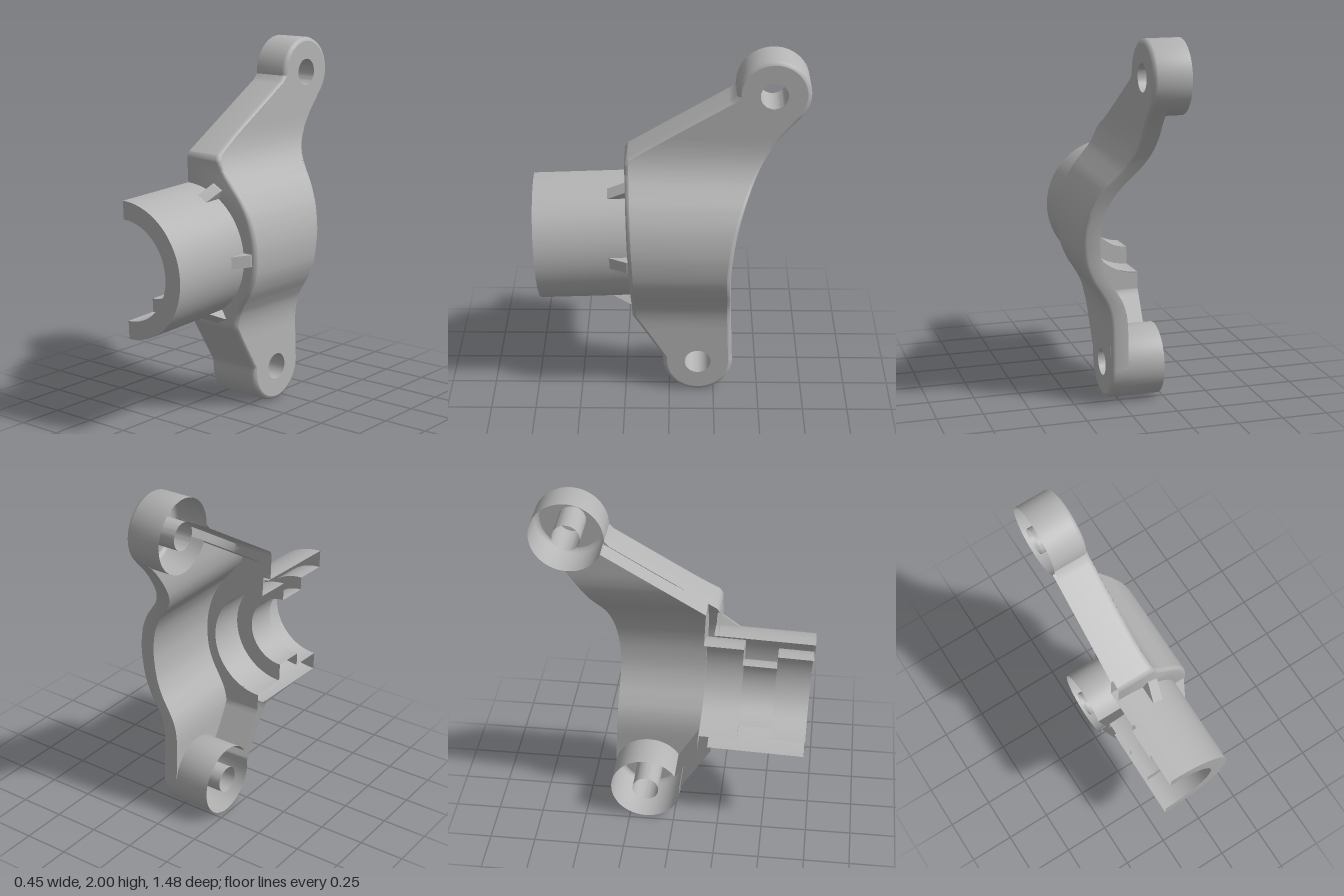
import * as THREE from 'three';
import { toCreasedNormals } from 'three/addons/utils/BufferGeometryUtils.js';

const CUT = -0.226;     // open plane of the half housing
const WALL = 0.092;     // shell thickness
const ROUND = 0.022;    // rounding of the outer edges
const TILT = 0.04;      // slight droop of the tube
const BORE_Y = 0.895;
// gap: angles where the lug ring opens into the front wall
const UPPER = { z: -0.545, y: 1.805, r: 0.195, x: -0.027, gap: [-0.45, -0.1] };
const LOWER = { z: -0.16, y: 0.196, r: 0.195, x: 0.07, gap: [0.15, 0.56] };
const HOLE = 0.073;

// Value at y from [y, value] pairs, straight or smooth between them
function interp(pts, smooth) {
  const n = pts.length;
  const slope = (i) => {
    const a = pts[Math.max(0, i - 1)], b = pts[Math.min(n - 1, i + 1)];
    return (b[1] - a[1]) / (b[0] - a[0]);
  };
  return (y) => {
    let i = 0;
    while (i < n - 2 && y > pts[i + 1][0]) i++;
    const [y0, a] = pts[i], [y1, b] = pts[i + 1];
    const h = y1 - y0, t = Math.min(1, Math.max(0, (y - y0) / h));
    if (!smooth) return a + (b - a) * t;
    const t2 = t * t, t3 = t2 * t;
    return a * (2 * t3 - 3 * t2 + 1) + b * (3 * t2 - 2 * t3)
      + h * (slope(i) * (t3 - 2 * t2 + t) + slope(i + 1) * (t3 - t2));
  };
}

// Bulged outer profile, front outline, inner front wall and back outline by height
const faceX = interp([[0, 0.07], [0.42, 0.07], [0.5, 0.076], [0.57, 0.095], [0.63, 0.127],
  [0.71, 0.175], [0.8, 0.209], [0.92, 0.222], [1.02, 0.213], [1.12, 0.183], [1.21, 0.132],
  [1.28, 0.076], [1.34, 0.028], [1.41, -0.007], [1.48, -0.023], [1.55, -0.027], [2, -0.027]], true);
const frontZ = interp([[0.195, 0.035], [0.225, 0.036], [0.26, 0.057], [0.5, 0.205], [1.41, 0.243],
  [1.435, 0.23], [1.45, 0.205], [1.77, -0.325], [1.8, -0.35]]);
const innerZ = interp([[0.26, -0.015], [0.5, 0.13], [1.39, 0.17], [1.73, -0.39]]);
const backZ = interp([[0.19, -0.355], [0.6, -0.34], [0.87, -0.335], [1.13, -0.375],
  [1.37, -0.475], [1.58, -0.605], [1.675, -0.69]], true);
const innerX = (y) => faceX(y) - WALL;

// Inner x limit that leaves a round opening of radius r
const opening = (y, r) => CUT + Math.sqrt(Math.max(0, r * r - (y - BORE_Y) ** 2));
// Front (+1) or back (-1) edge of a lug ring at height y
const lugZ = (l, y, side) => l.z + side * Math.sqrt(Math.max(0, l.r ** 2 - (y - l.y) ** 2));

// Rounded corner between the outer skin and a wall at z, s pointing into the part
const corner = (y, z, s) => [[1, 0], [0.3, 0.3], [0, 1]]
  .map(([a, b]) => [faceX(y) - a * ROUND, z + s * b * ROUND]);

// Heights with extra rows at the outline breaks and around the bore
function heights(from, to) {
  const ys = [from, to, 0.225, 0.26, 0.42, 0.5, 1.39, 1.41, 1.435, 1.45, 1.55, 1.77];
  for (let i = 0; i <= 40; i++) {
    ys.push(from + (to - from) * i / 40);
    ys.push(BORE_Y - 0.37 * Math.cos(Math.PI * i / 40), BORE_Y - 0.3 * Math.cos(Math.PI * i / 40));
  }
  return ys.filter((y) => y >= from && y <= to).sort((a, b) => a - b)
    .filter((y, i, all) => i === 0 || y - all[i - 1] > 1e-4);
}

// Sheet lofted through one cross-section per height, row(y) giving [x, z] points
function sheet(from, to, row) {
  const ys = heights(from, to), pos = [], index = [];
  ys.forEach((y, r) => {
    const points = row(y), n = points.length;
    points.forEach(([x, z], c) => {
      pos.push(x, y, z);
      if (r < ys.length - 1 && c < n - 1) {
        const k = r * n + c, m = k + n;
        index.push(k, k + 1, m, k + 1, m + 1, m);
      }
    });
  });
  const g = new THREE.BufferGeometry();
  g.setAttribute('position', new THREE.Float32BufferAttribute(pos, 3));
  g.setIndex(index);
  g.computeVertexNormals();
  return toCreasedNormals(g, 0.8);
}

export function createModel() {
  const model = new THREE.Group();
  const castMetal = new THREE.MeshStandardMaterial({ color: 0xb4b4b4, side: THREE.DoubleSide });
  const add = (name, geometry, parent = model) => {
    const mesh = new THREE.Mesh(geometry, castMetal);
    mesh.name = name;
    parent.add(mesh);
  };

  // Shell: curved outer skin, full-depth front wall and back rim with rounded edges
  add('outerSkin', sheet(0.42, 1.55, (y) => [[faceX(y), frontZ(y) - ROUND], [faceX(y), backZ(y) + ROUND]]));
  add('frontWall', sheet(0.195, 1.8, (y) => [[opening(y, 0.37), frontZ(y)], ...corner(y, frontZ(y), -1)]));
  add('backRim', sheet(0.195, 1.675, (y) => [[innerX(y), backZ(y)], ...corner(y, backZ(y), 1)]));

  // Pocket: inner front wall and inner skin, which runs round both lugs
  add('innerFrontWall', sheet(0.295, 1.72, (y) => [[opening(y, 0.3), innerZ(y)], [innerX(y), innerZ(y)]]));
  const pocket = (from, to, a, b) =>
    add('innerSkin', sheet(from, to, (y) => [[innerX(y), a(y)], [innerX(y), b(y)]]));
  pocket(0.39, 1.61, innerZ, backZ);
  pocket(0.295, 0.39, innerZ, (y) => lugZ(LOWER, y, 1));
  pocket(0.2, 0.39, (y) => lugZ(LOWER, y, -1), backZ);
  pocket(1.61, 1.72, innerZ, (y) => lugZ(UPPER, y, 1));
  pocket(1.61, 1.675, (y) => lugZ(UPPER, y, -1), backZ);

  // Lugs: flat face with a hole, round-edged outer ring and pin sleeve
  const lug = (name, l, start, end, before, after) => {
    const group = new THREE.Group();
    group.name = name;
    const outline = [...before];
    for (let i = 0; i <= 40; i++) {
      const a = start + (end - start) * i / 40, r = l.r - ROUND;
      outline.push(new THREE.Vector2(l.z + r * Math.cos(a), l.y + r * Math.sin(a)));
    }
    const shape = new THREE.Shape([...outline, ...after]);
    shape.holes.push(new THREE.Path().absarc(l.z, l.y, HOLE, 0, Math.PI * 2, true));
    const face = new THREE.ShapeGeometry(shape, 24);
    face.rotateY(-Math.PI / 2).translate(l.x, 0, 0);
    add(name + 'Face', face, group);
    const turned = (part, profile, from, sweep) => {
      const g = new THREE.LatheGeometry(profile.map(([r, x]) => new THREE.Vector2(r, x)), 48, from, sweep);
      g.rotateZ(-Math.PI / 2).translate(0, l.y, l.z);
      add(name + part, toCreasedNormals(g, 0.8), group);
    };
    turned('Ring', [[l.r, CUT], [l.r, l.x - ROUND], [l.r - 0.3 * ROUND, l.x - 0.3 * ROUND], [l.r - ROUND, l.x]],
      -l.gap[0], Math.PI * 2 - l.gap[1] + l.gap[0]);
    turned('Sleeve', [[HOLE, CUT], [HOLE, l.x]], 0, Math.PI * 2);
    model.add(group);
  };
  const edge = (fn, inset, ys) => ys.map((y) => new THREE.Vector2(fn(y) + inset, y));
  lug('upperLug', UPPER, -0.02, Math.PI + 0.73, edge(frontZ, -ROUND, [1.55, 1.77]),
    edge(backZ, ROUND, [1.65, 1.62, 1.58, 1.55]));
  lug('lowerLug', LOWER, Math.PI, Math.PI * 2, edge(backZ, ROUND, [0.42, 0.3]),
    edge(frontZ, -ROUND, [0.225, 0.26, 0.42]));

  // Half tube with a stepped bore
  const tube = new THREE.Group();
  tube.name = 'tube';
  tube.position.set(CUT, 0.905, 0);
  tube.rotation.x = TILT;
  model.add(tube);
  const profile = [[0.372, 0.2], [0.372, 0.73], [0.273, 0.73], [0.273, 0.54], [0.2, 0.54],
    [0.2, 0.36], [0.3, 0.36], [0.3, 0.15]].map(([r, z]) => new THREE.Vector2(r, z));
  const half = new THREE.LatheGeometry(profile, 40, 0, Math.PI);
  half.rotateX(Math.PI / 2);
  add('halfTube', toCreasedNormals(half, 0.5), tube);

  // Gusset ribs between tube and front wall
  const gusset = new THREE.Shape([[0.35, 0.2], [0.43, 0.2], [0.425, 0.23], [0.365, 0.335], [0.35, 0.335]]
    .map(([r, z]) => new THREE.Vector2(r, z)));
  for (const angle of [-1.06, 0, 1.06]) {
    const g = new THREE.ExtrudeGeometry(gusset, { depth: 0.066, bevelEnabled: false });
    g.translate(0, 0, -0.033).rotateX(Math.PI / 2).rotateZ(angle);
    add('gussetRib', g, tube);
  }
  return model;
}
